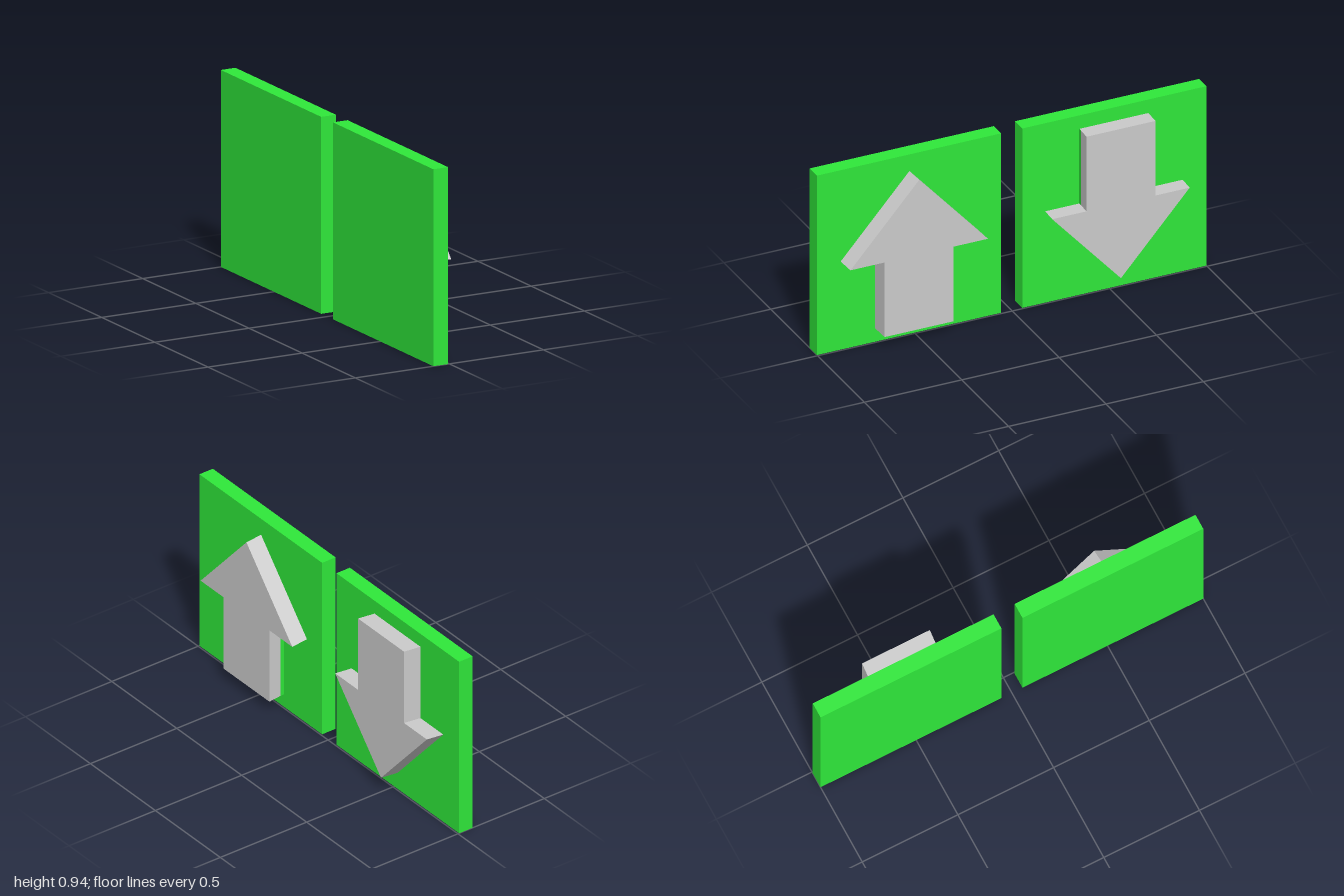
import * as THREE from 'three';

const SIZE = 0.945, THICK = 0.078, FACE = -0.007, DEPTH = 0.09;
const MID = 0.0025, STEM = 0.177, WING = 0.353; // arrow centre line and half widths
const BOTTOM = -0.4015, SHOULDER = -0.0085, TIP = 0.385;

const green = new THREE.MeshStandardMaterial({ color: 0x2fe83a, flatShading: true });
const grey = new THREE.MeshStandardMaterial({ color: 0xcccccc, flatShading: true });

// Lean the extruded arrow slightly, then turn it so its depth runs along +x
function place(geometry) {
  geometry.applyMatrix4(new THREE.Matrix4().set(
    1, 0, 0.078, 0,
    0, 1, -0.045, 0,
    0, 0, 1, 0,
    0, 0, 0, 1));
  return geometry.rotateY(Math.PI / 2).translate(FACE, 0, 0);
}

function add(group, name, geometry, material) {
  const mesh = new THREE.Mesh(geometry, material);
  mesh.name = name;
  group.add(mesh);
}

// One square plate with a raised arrow pointing up
function createTile(name) {
  const tile = new THREE.Group();
  tile.name = name;

  const plate = new THREE.BoxGeometry(THICK, SIZE, SIZE);
  add(tile, 'plate', plate.translate(FACE - THICK / 2, 0, 0), green);

  const outline = new THREE.Shape([
    [-STEM, BOTTOM], [STEM, BOTTOM], [STEM, SHOULDER], [WING, SHOULDER],
    [0, TIP], [-WING, SHOULDER], [-STEM, SHOULDER],
  ].map(([u, v]) => new THREE.Vector2(MID + u, v)));
  const arrow = new THREE.ExtrudeGeometry(outline, { depth: DEPTH, bevelEnabled: false });
  add(tile, 'arrow', place(arrow), grey);

  // Green band along the foot of one stem side
  const band = new THREE.BoxGeometry(0.002, SHOULDER - BOTTOM, 0.022);
  band.translate(MID + STEM, (SHOULDER + BOTTOM) / 2, 0.011);
  add(tile, 'stemBand', place(band), green);
  return tile;
}

export function createModel() {
  const model = new THREE.Group();
  model.name = 'arrowTiles';
  const up = createTile('upTile');
  up.position.set(0, SIZE / 2, 1 - SIZE / 2);
  const down = createTile('downTile');
  down.rotation.x = Math.PI;
  down.position.set(0, SIZE / 2, -1 + SIZE / 2);
  model.add(up, down);
  return model;
}
